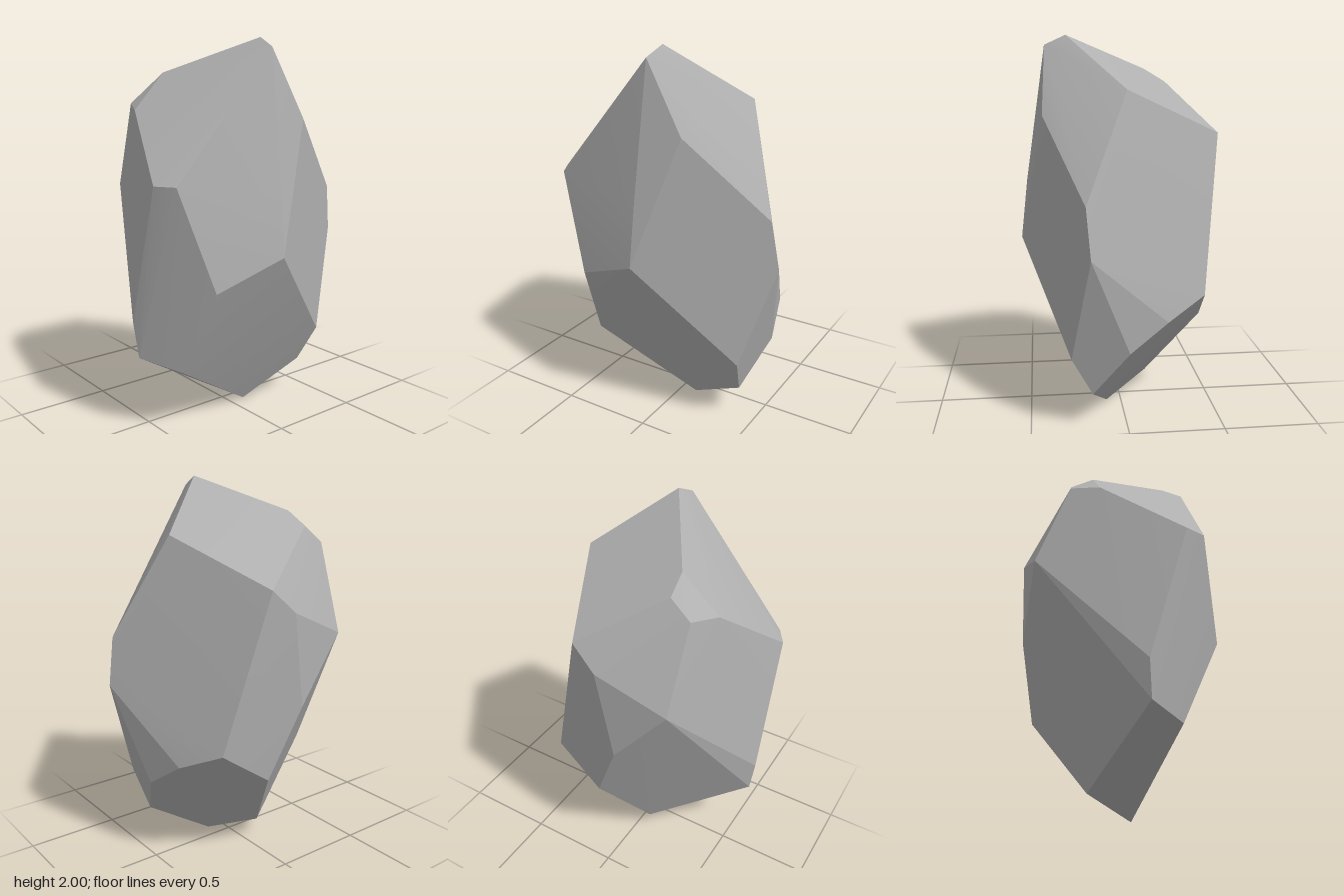
import * as THREE from 'three';
import { ConvexGeometry } from 'three/addons/geometries/ConvexGeometry.js';
import { toCreasedNormals } from 'three/addons/utils/BufferGeometryUtils.js';

// Corner points of the chipped boulder, grouped by area
const crown = [
  [0.02, 2, 0.28], [0, 1.95, 0.39], [0.37, 1.73, 0], [0.13, 1.5, -0.51],
  [-0.27, 1.76, -0.29], [-0.26, 1.83, -0.17], [-0.38, 1.67, -0.3], [-0.45, 1.64, -0.15],
];
const front = [
  [0.2, 1.6, 0.41], [0.59, 1.2, 0.22], [0.63, 0.95, 0.2], [-0.02, 1.24, 0.495],
  [-0.03, 0.93, 0.53], [-0.39, 0.79, 0.45], [-0.56, 1.31, 0.37], [-0.46, 0.35, 0.25],
];
const leftAndBack = [
  [-0.62, 1.31, 0.27], [-0.625, 0.6, 0.07], [-0.6, 0.41, 0.08], [-0.36, 1.22, -0.47],
  [0, 1.38, -0.53], [-0.08, 0.88, -0.51], [0.35, 0.68, -0.41], [0.08, 0.49, -0.44],
];
const underside = [
  [0.09, 0, 0.08], [0.42, 0.19, 0.18], [0.46, 0.4, 0.29],
  [-0.08, 0.1, -0.16], [0.52, 0.44, 0], [0.47, 0.58, -0.2],
];

export function createModel() {
  const group = new THREE.Group();
  group.name = 'boulder';

  const stone = new THREE.MeshStandardMaterial({ color: 0xb0b0b0 });
  stone.name = 'stone grey';

  // Broad cut facets: shallow bends stay soft, real edges stay sharp
  const points = [...crown, ...front, ...leftAndBack, ...underside]
    .map((p) => new THREE.Vector3(...p));
  const rock = new THREE.Mesh(toCreasedNormals(new ConvexGeometry(points), 0.25), stone);
  rock.name = 'rock';
  group.add(rock);
  return group;
}
